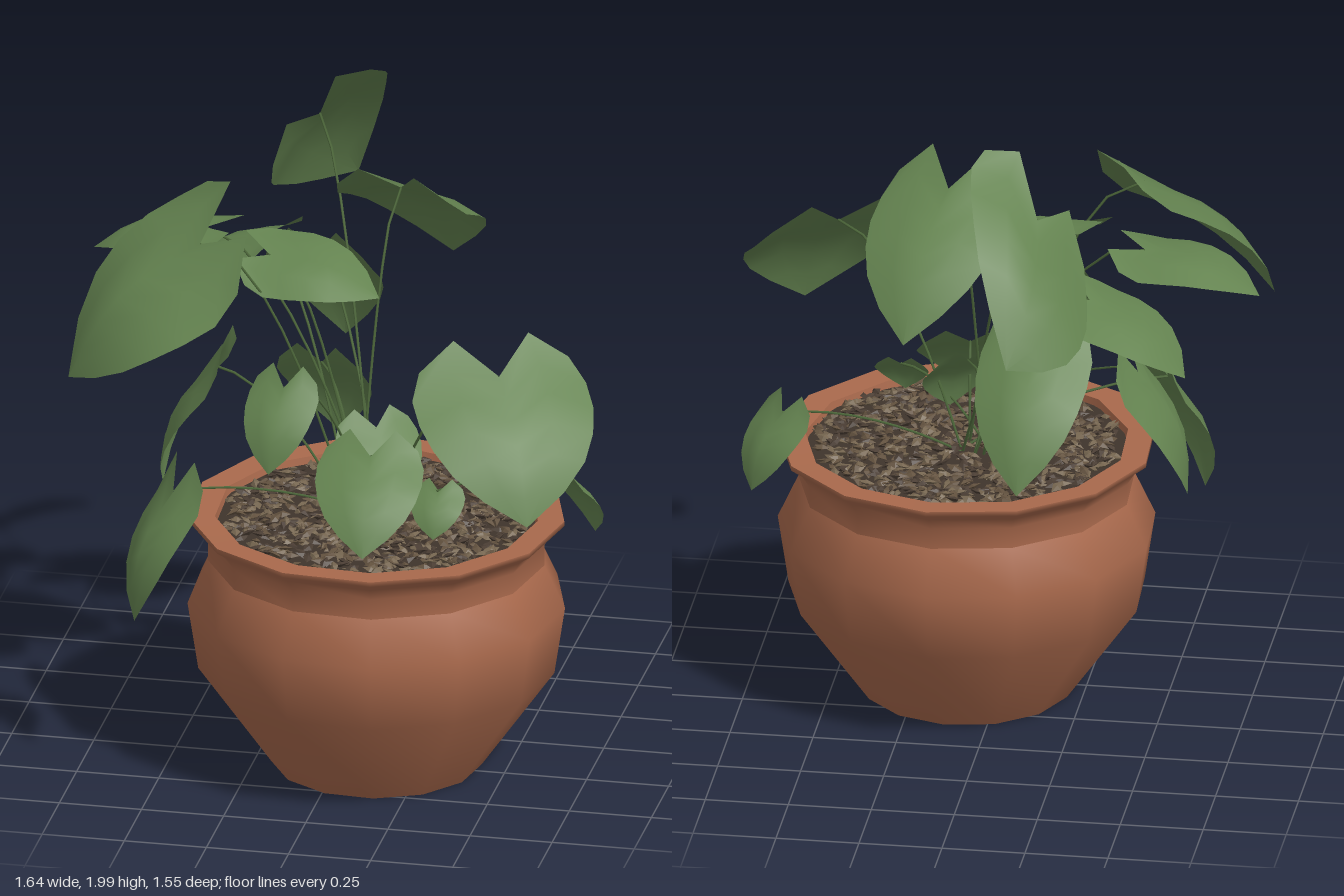
import * as THREE from 'three';
import { mergeGeometries } from 'three/addons/utils/BufferGeometryUtils.js';

const mat = (name, color, side = THREE.FrontSide) => {
  const m = new THREE.MeshStandardMaterial({ color, side });
  m.name = name;
  return m;
};

// Centre of the pot
const CX = 0.105, CZ = 0.215, SIDES = 13;

// Heart-shaped blade: rows run from the lobes to the tip, columns across.
// The blade spreads level to both sides of its midrib unless it is tilted.
function leafGeometry(base, tip, width, tilt) {
  const along = tip.clone().sub(base);
  const across = new THREE.Vector3(along.z, 0, -along.x).setLength(width * Math.cos(tilt));
  across.y = width * Math.sin(tilt);
  const normal = along.clone().cross(across).normalize();
  const starts = [-0.1, -0.27, 0, -0.27, -0.1];
  const widths = [0.86, 1, 1, 0.92, 0.76, 0.46, 0];
  const size = along.length();
  const pos = [], index = [];
  widths.forEach((w, r) => {
    const k = r / (widths.length - 1);
    starts.forEach((start, c) => {
      const u = (c - 2) * 0.5 * w, v = start + (1 - start) * k;
      const lift = size * (0.13 * Math.sin(Math.PI * Math.max(v, 0)) - 0.1 * u * u);
      const p = base.clone().addScaledVector(across, u).addScaledVector(along, v).addScaledVector(normal, lift);
      pos.push(p.x, p.y, p.z);
      if (r && c) {
        const d = r * 5 + c, b = d - 5;
        index.push(b - 1, d - 1, b, b, d - 1, d);
      }
    });
  });
  const g = new THREE.BufferGeometry();
  g.setAttribute('position', new THREE.Float32BufferAttribute(pos, 3));
  g.setIndex(index);
  g.computeVertexNormals();
  return g;
}

// Thin stalk arching from the soil to the notch of a leaf
function stemGeometry(end, i) {
  const root = new THREE.Vector3(0.07 + 0.05 * Math.cos(i * 2.4), 0.77, 0.2 + 0.05 * Math.sin(i * 2.4));
  const bend = root.clone().lerp(end, 0.55);
  bend.y = end.y + 0.02;
  return new THREE.TubeGeometry(new THREE.QuadraticBezierCurve3(root, bend, end), 8, 0.004, 4);
}

// Leaves by height: notch, tip, half width and, for a few, tilt
const UPPER = [
  [0.53, 1.37, 0.47, 0.67, 1.0, 0.73, 0.27],
  [-0.42, 1.64, 0.28, -0.79, 1.24, 0.43, 0.31, -0.3],
  [-0.47, 1.56, -0.04, -0.82, 1.45, -0.08, 0.17],
  [-0.2, 1.8, -0.41, -0.16, 1.47, -0.78, 0.27, -0.85],
  [-0.33, 1.47, -0.23, -0.63, 1.27, -0.31, 0.18],
  [-0.19, 1.38, -0.36, -0.17, 1.0, -0.64, 0.17],
  [0.12, 1.73, -0.06, 0.2, 1.38, -0.44, 0.21],
  [-0.24, 1.56, 0.13, 0.1, 1.46, 0.16, 0.16, 0.3],
];
const LOWER = [
  [-0.46, 0.92, 0.48, -0.56, 0.53, 0.57, 0.12],
  [-0.44, 1.14, 0.01, -0.59, 0.75, 0.01, 0.17],
  [-0.13, 1.27, 0.45, -0.15, 1.04, 0.58, 0.11],
  [0.12, 1.04, 0.38, 0.14, 0.8, 0.6, 0.16],
  [0.1, 1.06, 0.2, 0.17, 0.86, 0.31, 0.13],
  [0.64, 0.91, 0.07, 0.72, 0.69, -0.02, 0.11],
  [0.33, 0.95, 0.39, 0.33, 0.83, 0.48, 0.08],
  [-0.13, 1.13, -0.1, -0.11, 0.85, -0.26, 0.14],
];

export function createModel() {
  const model = new THREE.Group();
  model.name = 'pottedPlant';
  const clay = mat('terracotta', 0xa9694c, THREE.DoubleSide);
  const green = mat('leafGreen', 0x648350, THREE.DoubleSide);
  const stalk = mat('stemGreen', 0x4f6a3c);
  const earth = mat('darkSoil', 0x3f342c);
  const barks = [mat('darkBark', 0x4a3d33), mat('brownBark', 0x63523f), mat('paleBark', 0x75654f)];

  const add = (name, geometry, material, parent) => {
    const m = new THREE.Mesh(geometry, material);
    m.name = name;
    parent.add(m);
    return m;
  };

  // Pot turned from separate profiles so that the corners stay crisp
  const pot = new THREE.Group();
  pot.name = 'pot';
  pot.position.set(CX, 0, CZ);
  pot.rotation.y = 0.17;
  model.add(pot);
  const lathe = (name, pts) =>
    add(name, new THREE.LatheGeometry(pts.map((p) => new THREE.Vector2(...p)), SIDES), clay, pot);
  lathe('potBase', [[0, 0], [0.315, 0]]);
  lathe('potBody', [[0.315, 0], [0.535, 0.31], [0.567, 0.52], [0.505, 0.655]]);
  lathe('potNeck', [[0.505, 0.655], [0.505, 0.72], [0.53, 0.76], [0.565, 0.785], [0.565, 0.8]]);
  lathe('potRim', [[0.565, 0.8], [0.485, 0.797]]);
  lathe('potInside', [[0.485, 0.797], [0.475, 0.74]]);

  // Soil with a scatter of flat bark chips
  const disc = add('soil', new THREE.CircleGeometry(0.48, SIDES * 2), earth, pot);
  disc.rotation.x = -Math.PI / 2;
  disc.position.y = 0.775;
  let seed = 7;
  const rnd = () => (seed = (seed * 16807) % 2147483647) / 2147483647;
  const chips = barks.map(() => []);
  for (let i = 0; i < 1000; i++) {
    const r = 0.455 * Math.sqrt(rnd()), a = rnd() * Math.PI * 2;
    const g = new THREE.OctahedronGeometry(0.027);
    g.scale(1, 0.3, 0.55);
    g.rotateX(rnd() * 1.2 - 0.6);
    g.rotateZ(rnd() * 0.8 - 0.4);
    g.rotateY(rnd() * 6.28);
    g.translate(r * Math.cos(a), 0.778 + rnd() * 0.014, r * Math.sin(a));
    chips[i % 3].push(g);
  }
  chips.forEach((list, i) => add(barks[i].name + 'Chips', mergeGeometries(list), barks[i], pot));

  // Foliage
  const plant = new THREE.Group();
  plant.name = 'plant';
  model.add(plant);
  const grow = (label) => ([nx, ny, nz, tx, ty, tz, width, tilt = 0], i) => {
    const notch = new THREE.Vector3(nx, ny, nz), tip = new THREE.Vector3(tx, ty, tz);
    add(label + 'Leaf' + (i + 1), leafGeometry(notch, tip, width, tilt), green, plant);
    add(label + 'Stem' + (i + 1), stemGeometry(notch, i), stalk, plant);
  };
  UPPER.forEach(grow('upper'));
  LOWER.forEach(grow('lower'));
  return model;
}
